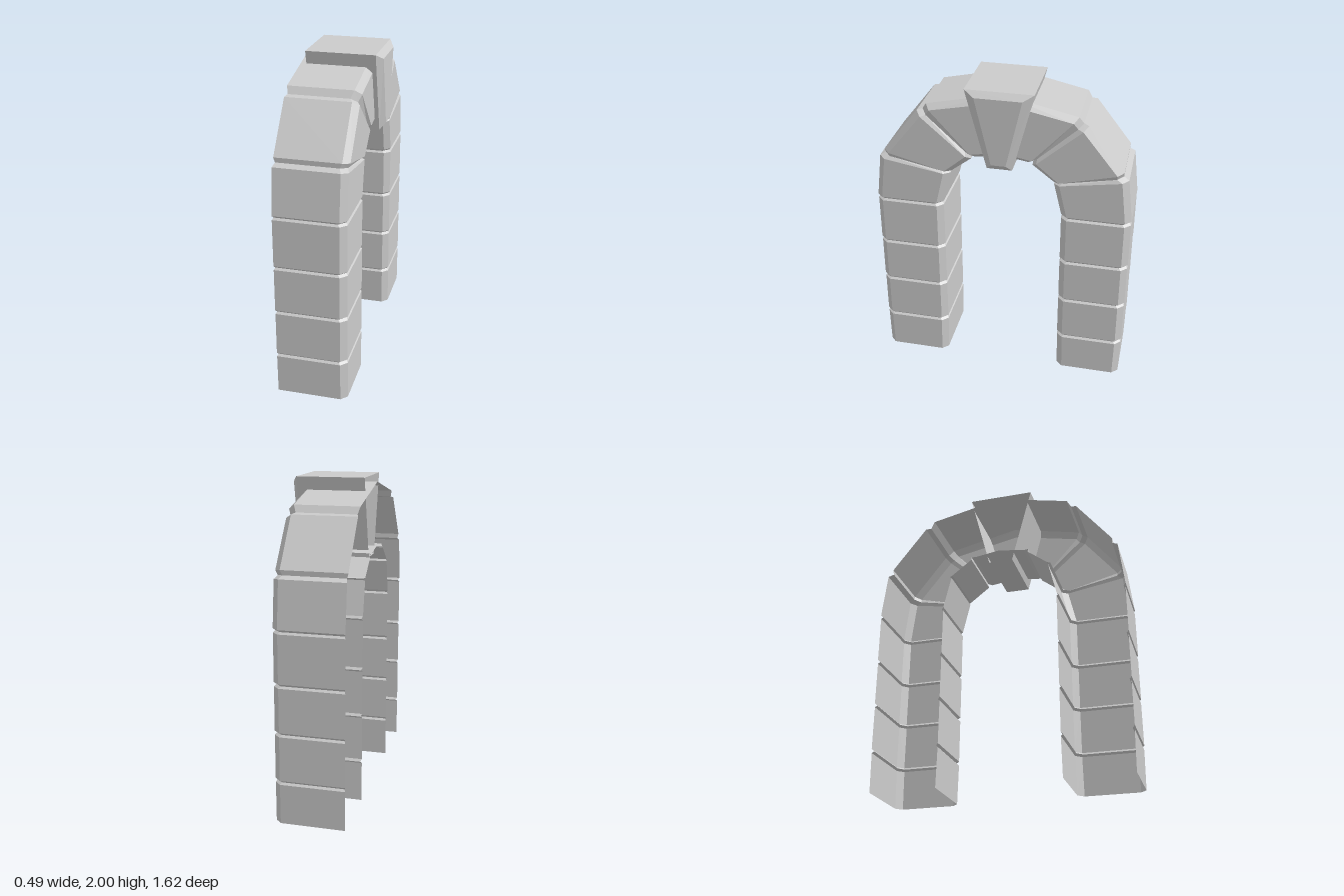
import * as THREE from 'three';

const material = new THREE.MeshStandardMaterial({
  color: 0xcccccc, flatShading: true, side: THREE.DoubleSide,
});

// Skin a row of cross-sections (each a list of [x, y, z]) with flat quads.
function loft(name, rings, closed = false, flip = false) {
  const out = [];
  const n = rings[0].length;
  for (let i = 0; i < rings.length - 1; i++) {
    for (let j = 0; j < (closed ? n : n - 1); j++) {
      const k = (j + 1) % n;
      const a = rings[i][j], b = rings[i + 1][j], c = rings[i + 1][k], d = rings[i][k];
      out.push(...(flip ? [a, c, b, a, d, c] : [a, b, c, a, c, d]));
    }
  }
  const geometry = new THREE.BufferGeometry();
  geometry.setAttribute('position', new THREE.Float32BufferAttribute(out.flat(), 3));
  geometry.computeVertexNormals();
  const mesh = new THREE.Mesh(geometry, material);
  mesh.name = name;
  return mesh;
}

// Open-backed section with chamfered front corners; inset makes the joint grooves.
function section([zo, yo, zi, yi, inset], side) {
  const length = Math.hypot(zo - zi, yo - yi);
  const at = (x, d) => {
    const t = d / length;
    return [x, yi + (yo - yi) * t, side * (zi + (zo - zi) * t)];
  };
  const back = -0.247 + inset * 0.6, front = 0.188 - inset, c = 0.038;
  const lo = inset, hi = length - inset;
  return [
    at(back, lo), at(front - c, lo), at(front, lo + c),
    at(front, hi - c), at(front - c, hi), at(back, hi),
  ];
}

export function createModel() {
  const group = new THREE.Group();

  // Stations up one half of the arch: outer z, y, inner z, y, groove inset
  const stations = [[0.805, 0, 0.385, 0, 0]];
  for (const y of [0.262, 0.562, 0.86, 1.182]) {
    const w = 0.38 - y * 0.004;
    stations.push([0.808, y - 0.012, w, y - 0.012, 0]);
    stations.push([0.808, y, w, y, 0.012]);
    stations.push([0.81, y + 0.014, w, y + 0.014, 0]);
  }
  stations.push(
    [0.775, 1.48, 0.325, 1.405, 0],
    [0.755, 1.5, 0.325, 1.415, 0.014],
    [0.743, 1.527, 0.32, 1.42, 0],
    [0.52, 1.81, 0.19, 1.52, 0],
    [0.5, 1.83, 0.18, 1.533, 0.018],
    [0.46, 1.86, 0.165, 1.535, 0],
    [0, 1.96, 0, 1.56, 0],
  );

  // Split the stations into blocks at the grooves and build both halves
  for (const side of [1, -1]) {
    const half = new THREE.Group();
    half.name = side > 0 ? 'frontArchHalf' : 'backArchHalf';
    let rings = [], count = 1;
    stations.forEach((station, i) => {
      rings.push(section(station, side));
      if (station[4] > 0 || i === stations.length - 1) {
        half.add(loft(`archBlock${count++}`, rings, false, side < 0));
        rings = [rings[rings.length - 1]];
      }
    });
    group.add(half);
  }

  // Keystone: a wedge with a bevelled face, open at the back
  const wedge = (x, top, topHalf, bottom, bottomHalf) => [
    [x, top, topHalf], [x, top, -topHalf], [x, bottom, -bottomHalf], [x, bottom, bottomHalf],
  ];
  group.add(loft('keystone', [
    wedge(-0.213, 2, 0.208, 1.5, 0.078),
    wedge(0.213, 2, 0.208, 1.5, 0.078),
    wedge(0.247, 1.965, 0.143, 1.54, 0.045),
    wedge(0.247, 1.75, 0, 1.75, 0),
  ], true));

  return group;
}
